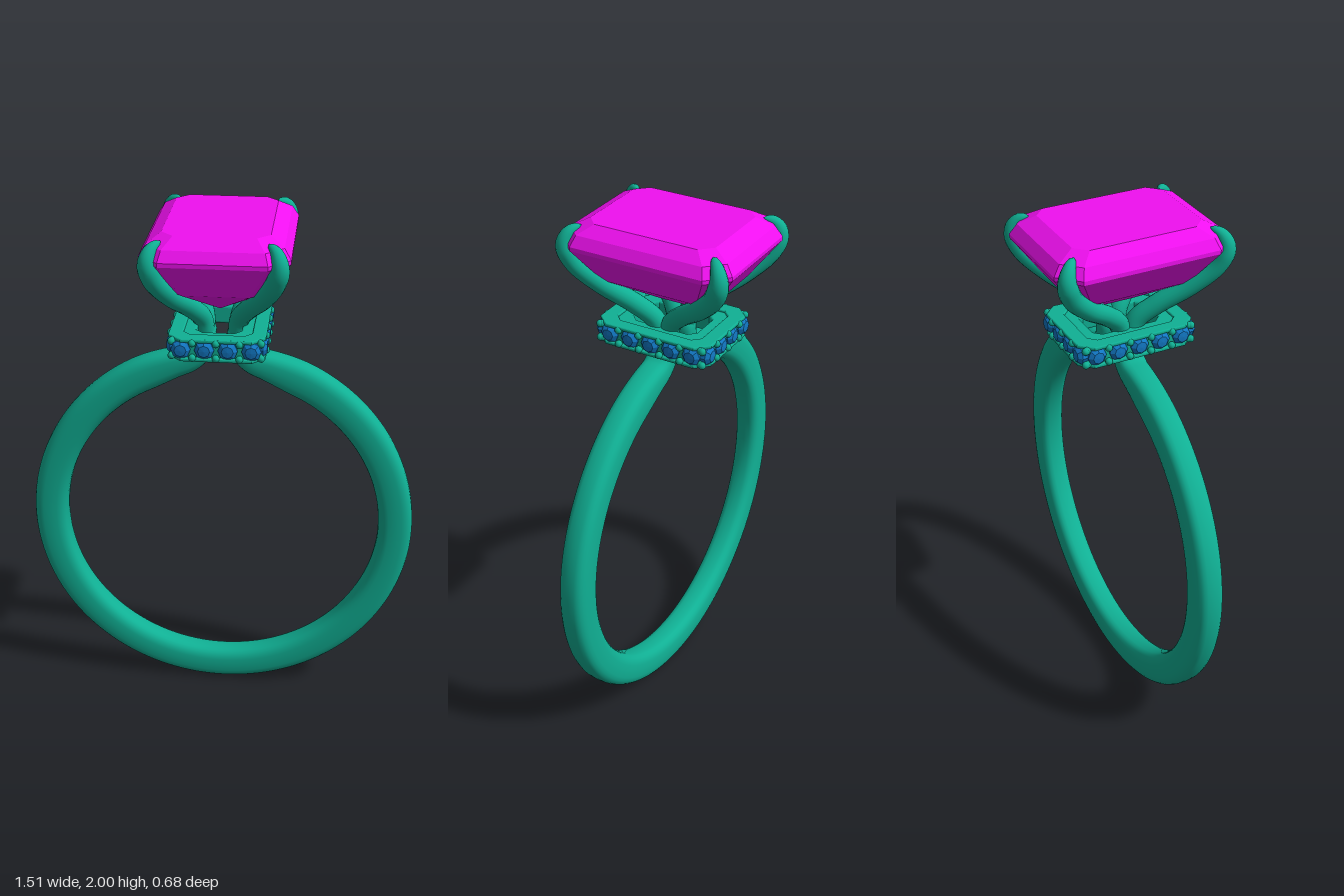
import * as THREE from 'three';
import { ConvexGeometry } from 'three/addons/geometries/ConvexGeometry.js';

const V = (x, y, z = 0) => new THREE.Vector3(x, y, z);
const metal = new THREE.MeshStandardMaterial({ color: 0x10b094 });
const pink = new THREE.MeshStandardMaterial({ color: 0xf010f0, flatShading: true });
const blue = new THREE.MeshStandardMaterial({ color: 0x1278c4, flatShading: true });

function add(parent, name, geometry, material) {
  const mesh = new THREE.Mesh(geometry, material);
  mesh.name = name;
  parent.add(mesh);
  return mesh;
}

// Sweeps a superellipse along a curve; size(t) gives half sizes along ref and across it
function sweep(curve, steps, ref, size, power, sides = 24) {
  const pos = [], index = [];
  const bend = (v) => Math.sign(v) * Math.abs(v) ** power;
  for (let i = 0; i <= steps; i++) {
    const t = i / steps;
    const p = curve.getPointAt(t), T = curve.getTangentAt(t);
    const A = ref.clone().addScaledVector(T, -ref.dot(T)).normalize();
    const B = T.clone().cross(A);
    const [a, b] = size(t);
    for (let j = 0; j < sides; j++) {
      const k = (j / sides) * Math.PI * 2;
      const q = p.clone().addScaledVector(A, a * bend(Math.cos(k))).addScaledVector(B, b * bend(Math.sin(k)));
      pos.push(q.x, q.y, q.z);
      if (i < steps) {
        const n = (j + 1) % sides, r = i * sides, s = r + sides;
        index.push(r + j, r + n, s + j, r + n, s + n, s + j);
      }
    }
  }
  const g = new THREE.BufferGeometry();
  g.setAttribute('position', new THREE.Float32BufferAttribute(pos, 3));
  g.setIndex(index);
  g.computeVertexNormals();
  return g;
}

// Rectangle with cut corners, as a list of [x, z]
function cutRect(x, z, c) {
  return [[x, z - c], [x - c, z], [c - x, z], [-x, z - c], [-x, c - z], [c - x, -z], [x - c, -z], [x, c - z]];
}

function makeBand(group) {
  // Neck points on the right, then the circle, then the mirrored neck
  const neck = [V(0.06, 1.6), V(0.062, 1.54), V(0.075, 1.485), V(0.115, 1.447), V(0.18, 1.424)];
  const circle = [];
  const n = 40, a0 = 0.38;
  for (let i = 0; i <= n; i++) {
    const a = a0 + (i / n) * (Math.PI * 2 - 2 * a0);
    circle.push(V(0.688 * Math.sin(a), 0.755 + 0.688 * Math.cos(a)));
  }
  const mirrored = neck.map((p) => V(-p.x, p.y)).reverse();
  const curve = new THREE.CatmullRomCurve3([...neck, ...circle, ...mirrored]);
  curve.arcLengthDivisions = 1000;
  const size = (t) => {
    const e = Math.min(t, 1 - t);
    const k = THREE.MathUtils.smoothstep(e, 0.015, 0.085);
    const end = Math.min(1, Math.sqrt(e / 0.006));
    return [0.055 * end, (0.04 + 0.027 * k) * end];
  };
  add(group, 'band', sweep(curve, 240, V(0, 0, 1), size, 0.7), metal);
}

function makeProngs(group) {
  const prongs = new THREE.Group();
  prongs.name = 'prongs';
  group.add(prongs);
  for (const sx of [1, -1]) for (const sz of [1, -1]) {
    const curve = new THREE.CatmullRomCurve3([
      [0.06, 1.55, 0.015], [0.068, 1.62, 0.035], [0.105, 1.685, 0.1], [0.165, 1.765, 0.205],
      [0.212, 1.85, 0.285], [0.228, 1.92, 0.308], [0.215, 1.963, 0.293], [0.185, 1.985, 0.262],
    ].map(([x, y, z]) => V(sx * x, y, sz * z)));
    const size = (t) => {
      const tip = Math.min(1, Math.sqrt((1 - t) / 0.2));
      return [0.037 * tip, 0.037 * tip];
    };
    add(prongs, 'prong', sweep(curve, 48, V(sx * 0.8, 0, -sz * 0.6), size, 1, 16), metal);
  }
}

function makeCenterStone(group) {
  // Step-cut layers: half width, half depth, height, corner cut
  const layers = [
    [0.19, 0.25, 2.0, 0.045], [0.24, 0.312, 1.968, 0.062], [0.264, 0.338, 1.93, 0.075],
    [0.264, 0.338, 1.915, 0.075], [0.17, 0.24, 1.78, 0.05],
  ];
  const pts = layers.flatMap(([x, z, y, c]) => cutRect(x, z, c).map((p) => V(p[0], y, p[1])));
  pts.push(V(0, 1.67, 0.06), V(0, 1.67, -0.06));
  add(group, 'centerStone', new ConvexGeometry(pts), pink);
}

function makeHalo(group) {
  const halo = new THREE.Group();
  halo.name = 'halo';
  halo.position.y = 1.57;
  group.add(halo);

  // Collar under the stone, with an open middle, and a thin rim above and below the small stones
  const plate = (name, x, z, hx, hz, y, h, bevel) => {
    const outline = (w, d, c) => cutRect(w, d, c).map((p) => new THREE.Vector2(...p));
    const shape = new THREE.Shape(outline(x - bevel, z - bevel, 0.045));
    shape.holes.push(new THREE.Path(outline(hx, hz, 0.03)));
    const g = new THREE.ExtrudeGeometry(shape, {
      depth: h - 2 * bevel, bevelThickness: bevel, bevelSize: bevel, bevelSegments: 3,
    });
    g.translate(0, 0, -h / 2 + bevel).rotateX(Math.PI / 2).translate(0, y, 0);
    add(halo, name, g, metal);
  };
  plate('collar', 0.162, 0.217, 0.09, 0.14, 0, 0.07, 0.008);
  for (const s of [1, -1]) plate('collarRim', 0.177, 0.232, 0.13, 0.18, s * 0.036, 0.014, 0.005);

  // Small stones and the beads between them, all facing outward
  const stone = new THREE.LatheGeometry(
    [[0.034, -0.02], [0.036, 0.006], [0.022, 0.02], [0, 0.022]].map((p) => new THREE.Vector2(...p)), 8);
  stone.rotateX(Math.PI / 2);
  const bead = new THREE.SphereGeometry(0.014, 10, 8);
  const row = (count, offset, angle) => {
    const side = new THREE.Group();
    side.name = 'haloSide';
    side.rotation.y = angle;
    halo.add(side);
    for (let i = 0; i <= count; i++) {
      const x = (i - (count - 1) / 2) * 0.085;
      if (i < count) add(side, 'smallStone', stone, blue).position.set(x, 0, offset);
      const edge = i === 0 ? 0.008 : i === count ? -0.008 : 0;
      for (const s of [1, -1]) {
        add(side, 'bead', bead, metal).position.set(x - 0.0425 + edge, s * 0.028, offset + 0.012 - Math.abs(edge) * 2);
      }
    }
  };
  for (const turn of [0, Math.PI]) {
    row(4, 0.217, turn);
    row(5, 0.162, turn + Math.PI / 2);
  }
}

export function createModel() {
  const group = new THREE.Group();
  group.name = 'ring';
  makeBand(group);
  makeProngs(group);
  makeCenterStone(group);
  makeHalo(group);
  return group;
}
